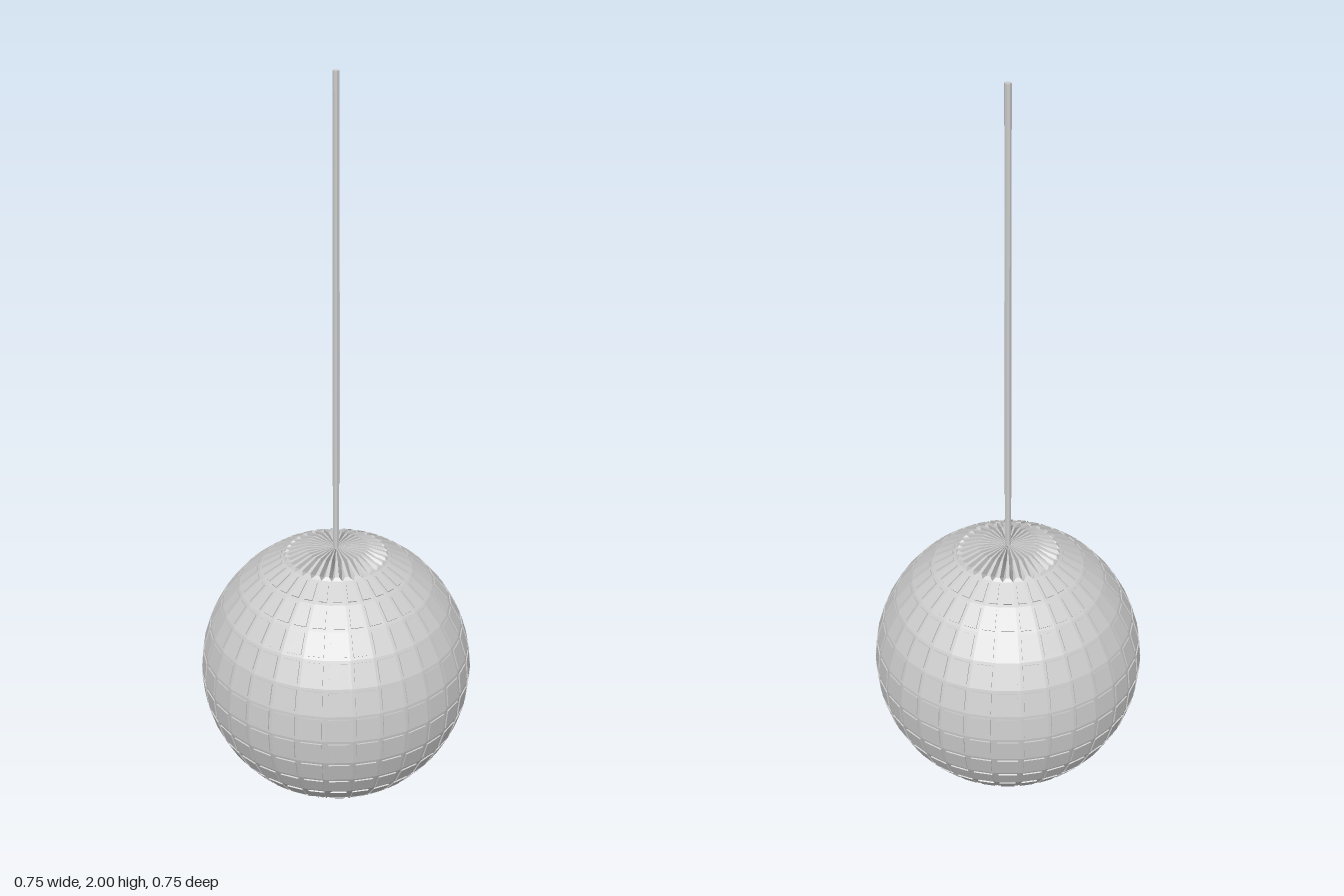
import * as THREE from 'three';
import { mergeGeometries } from 'three/addons/utils/BufferGeometryUtils.js';

const SEG = 32;                 // tiles around
const STEP = (Math.PI * 2) / SEG;
const R = 0.371;                // core radius, also height of its centre
const GAP = 0.008;              // inset of each tile from its cell edge
const DEPTH = 0.0035;           // how far tiles stand out

// Copies of one piece around the y axis
function ringOf(piece) {
  const copies = [];
  for (let k = 0; k < SEG; k++) copies.push(piece.clone().rotateY((k + 0.5) * STEP));
  return mergeGeometries(copies);
}

// One raised tile on the cell between polar angles t1 and t2
function tile(t1, t2) {
  const c = Math.cos(STEP / 2), s = Math.sin(STEP / 2);
  const p1 = new THREE.Vector2(R * Math.sin(t1) * c, R * Math.cos(t1));
  const p2 = new THREE.Vector2(R * Math.sin(t2) * c, R * Math.cos(t2));
  const len = p1.distanceTo(p2);
  const d = p2.clone().sub(p1).divideScalar(len);
  const n = new THREE.Vector2(-d.y, d.x);
  const geo = new THREE.BoxGeometry(1, 1, 1);
  const pos = geo.attributes.position;
  for (let i = 0; i < pos.count; i++) {
    const along = pos.getY(i) > 0 ? GAP : len - GAP;
    const out = pos.getX(i) > 0 ? DEPTH : -0.001;
    const p = p1.clone().addScaledVector(d, along);
    const half = (p.x / c) * s - GAP;
    p.addScaledVector(n, out);
    pos.setXYZ(i, p.x, p.y, Math.sign(pos.getZ(i)) * half);
  }
  geo.computeVertexNormals();
  return geo;
}

// One polar slat with a groove wall on each side; the grooves deepen to the axis
function polarSlat() {
  const rim = R * Math.sin(Math.PI / 8) * Math.cos(STEP / 2);
  const rimY = R * Math.cos(Math.PI / 8);
  const slope = Math.tan(STEP / 2);
  // [radius, half width, height] from the rim inwards
  const sections = [
    [rim, rim * slope, rimY], [0.134, 0.0052, 0.351], [0.08, 0.0031, 0.369], [0.004, 0.0002, 0.37],
  ];
  const geo = new THREE.PlaneGeometry(1, 1, 3, sections.length - 1);
  const pos = geo.attributes.position;
  for (let i = 0; i < pos.count; i++) {
    const [r, half, y] = sections[Math.floor(i / 4)];
    const col = i % 4;
    const isFloor = col === 0 || col === 3;
    const floorY = THREE.MathUtils.lerp(0.28, rimY, r / rim);
    pos.setXYZ(i, r, isFloor ? floorY : y, (col < 2 ? -1 : 1) * (isFloor ? r * slope : half));
  }
  geo.computeVertexNormals();
  return geo;
}

export function createModel() {
  const model = new THREE.Group();
  const grey = new THREE.MeshStandardMaterial({ color: 0xcccccc, flatShading: true });
  const greyOpen = new THREE.MeshStandardMaterial({ color: 0xcccccc, flatShading: true, side: THREE.DoubleSide });
  const ball = new THREE.Group();
  ball.name = 'mirrorBall';
  ball.position.y = R;
  model.add(ball);

  const add = (parent, name, geo, mat) => {
    const mesh = new THREE.Mesh(geo, mat);
    mesh.name = name;
    parent.add(mesh);
    return mesh;
  };

  // Faceted core without its two polar caps
  add(ball, 'core', new THREE.SphereGeometry(R, SEG, 12, 0, Math.PI * 2, Math.PI / 8, Math.PI * 0.75), greyOpen);

  // Rows of raised tiles
  for (let row = 2; row < 14; row++) {
    add(ball, 'tileRow' + (row - 1), ringOf(tile(row * STEP, (row + 1) * STEP)), grey);
  }

  // Grooved caps at both poles
  const cap = ringOf(polarSlat());
  add(ball, 'topCap', cap, greyOpen);
  add(ball, 'bottomCap', cap, greyOpen).rotation.x = Math.PI;

  // Hanging rod, reaching a little way into the ball
  const rod = add(model, 'rod', new THREE.CylinderGeometry(0.009, 0.009, 1.4, 8), grey);
  rod.position.y = 1.3;

  return model;
}
